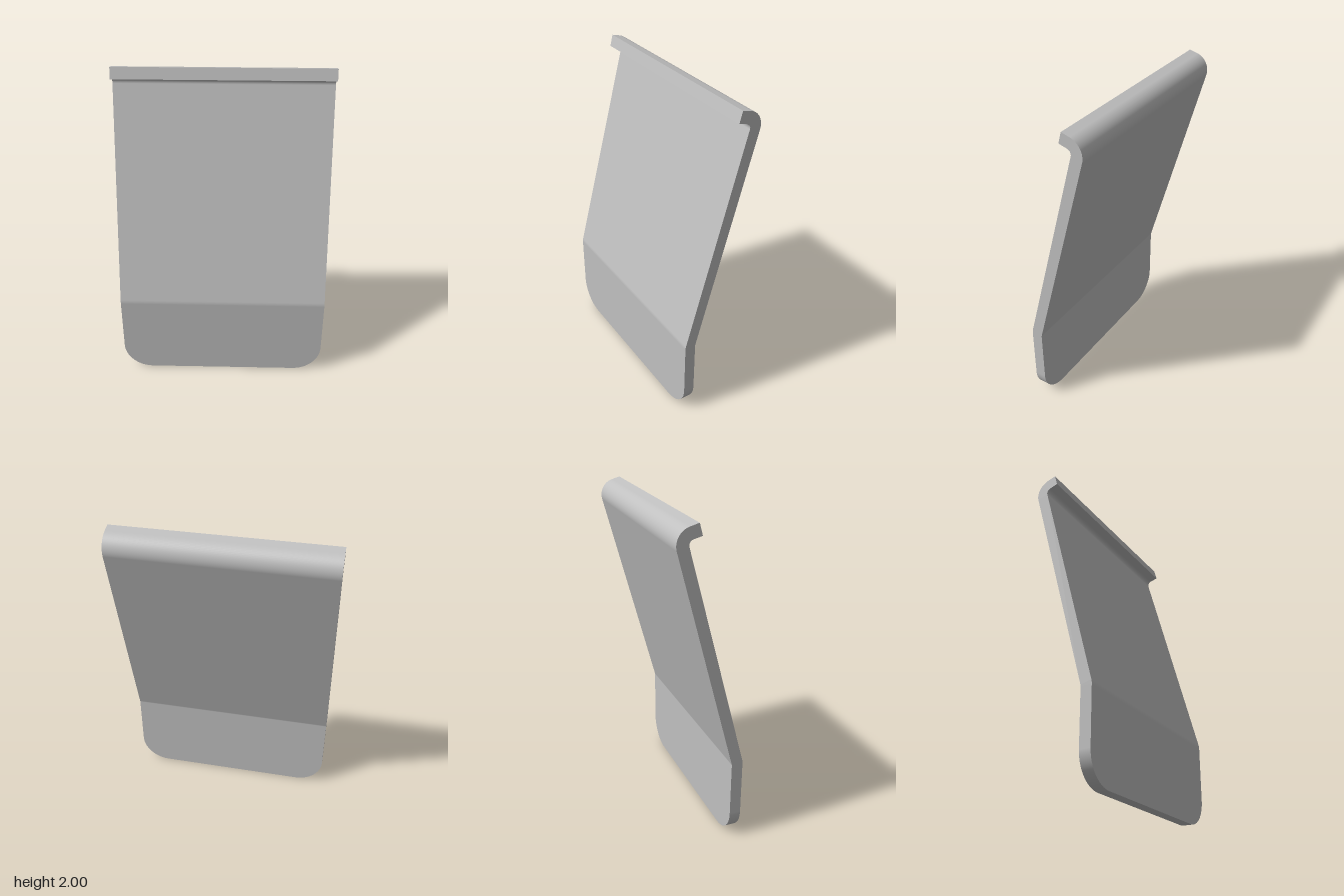
import * as THREE from 'three';

const T = 0.07;         // sheet thickness
const HALF = 0.655;     // half width
const CORNER = 0.18;    // bottom corner radius
const TILT = THREE.MathUtils.degToRad(15);

// A station is a slice across the sheet: back point, front-normal angle, half width, edge-normal angle
function station(y, z, angle, w = HALF, edge = 0) {
  const ny = Math.sin(angle), nz = Math.cos(angle);
  return { w, edge, ny, nz, by: y, bz: z, fy: y + T * ny, fz: z + T * nz };
}

function makeStations() {
  const list = [];
  // rounded lower corners
  for (let i = 0; i <= 16; i++) {
    const a = (Math.PI / 2) * (1 - i / 16);
    list.push(station(CORNER * (1 - Math.sin(a)), 0.145, 0, HALF - CORNER * (1 - Math.cos(a)), a));
  }
  // gentle backward bend
  for (let i = 0; i <= 5; i++) {
    const a = TILT * i / 5;
    list.push(station(0.527 + 0.03 * Math.sin(a), 0.115 + 0.03 * Math.cos(a), a));
  }
  // hook curling forward at the top
  for (let i = 0; i <= 18; i++) {
    const a = TILT - (Math.PI / 2) * i / 18;
    list.push(station(1.89 - 0.1 * Math.sin(a), -0.115 - 0.1 * Math.cos(a), a));
  }
  // end of the lip
  list.push(station(2, -0.09, TILT - Math.PI / 2));
  return list;
}

// Strip of quads between pairs of [point, normal], smooth along its length
function strip(pairs, material, name) {
  const pos = [], nor = [], idx = [];
  pairs.forEach(([a, b, n], i) => {
    pos.push(...a, ...b);
    nor.push(...n, ...n);
    if (i > 0) {
      const k = 2 * i - 2;
      idx.push(k, k + 1, k + 3, k, k + 3, k + 2);
    }
  });
  const g = new THREE.BufferGeometry();
  g.setAttribute('position', new THREE.Float32BufferAttribute(pos, 3));
  g.setAttribute('normal', new THREE.Float32BufferAttribute(nor, 3));
  g.setIndex(idx);
  const mesh = new THREE.Mesh(g, material);
  mesh.name = name;
  return mesh;
}

export function createModel() {
  const metal = new THREE.MeshStandardMaterial({ color: 0xc0c0c0 });
  metal.name = 'light grey';
  const group = new THREE.Group();
  group.name = 'bentPlate';

  const s = makeStations();
  const front = (p, side) => [side * p.w, p.fy, p.fz];
  const back = (p, side) => [side * p.w, p.by, p.bz];

  // broad faces
  group.add(strip(s.map(p => [front(p, -1), front(p, 1), [0, p.ny, p.nz]]), metal, 'frontFace'));
  group.add(strip(s.map(p => [back(p, 1), back(p, -1), [0, -p.ny, -p.nz]]), metal, 'backFace'));

  // side edges
  const edgeNormal = (p, side) => [side * Math.cos(p.edge), -Math.sin(p.edge), 0];
  group.add(strip(s.map(p => [front(p, 1), back(p, 1), edgeNormal(p, 1)]), metal, 'leftEdge'));
  group.add(strip(s.map(p => [back(p, -1), front(p, -1), edgeNormal(p, -1)]), metal, 'rightEdge'));

  // bottom edge and lip end
  const lo = s[0], hi = s[s.length - 1];
  const down = [0, -1, 0], out = [0, Math.sin(TILT), Math.cos(TILT)];
  group.add(strip([[back(lo, -1), back(lo, 1), down], [front(lo, -1), front(lo, 1), down]], metal, 'bottomEdge'));
  group.add(strip([[front(hi, -1), front(hi, 1), out], [back(hi, -1), back(hi, 1), out]], metal, 'lipEnd'));
  return group;
}
